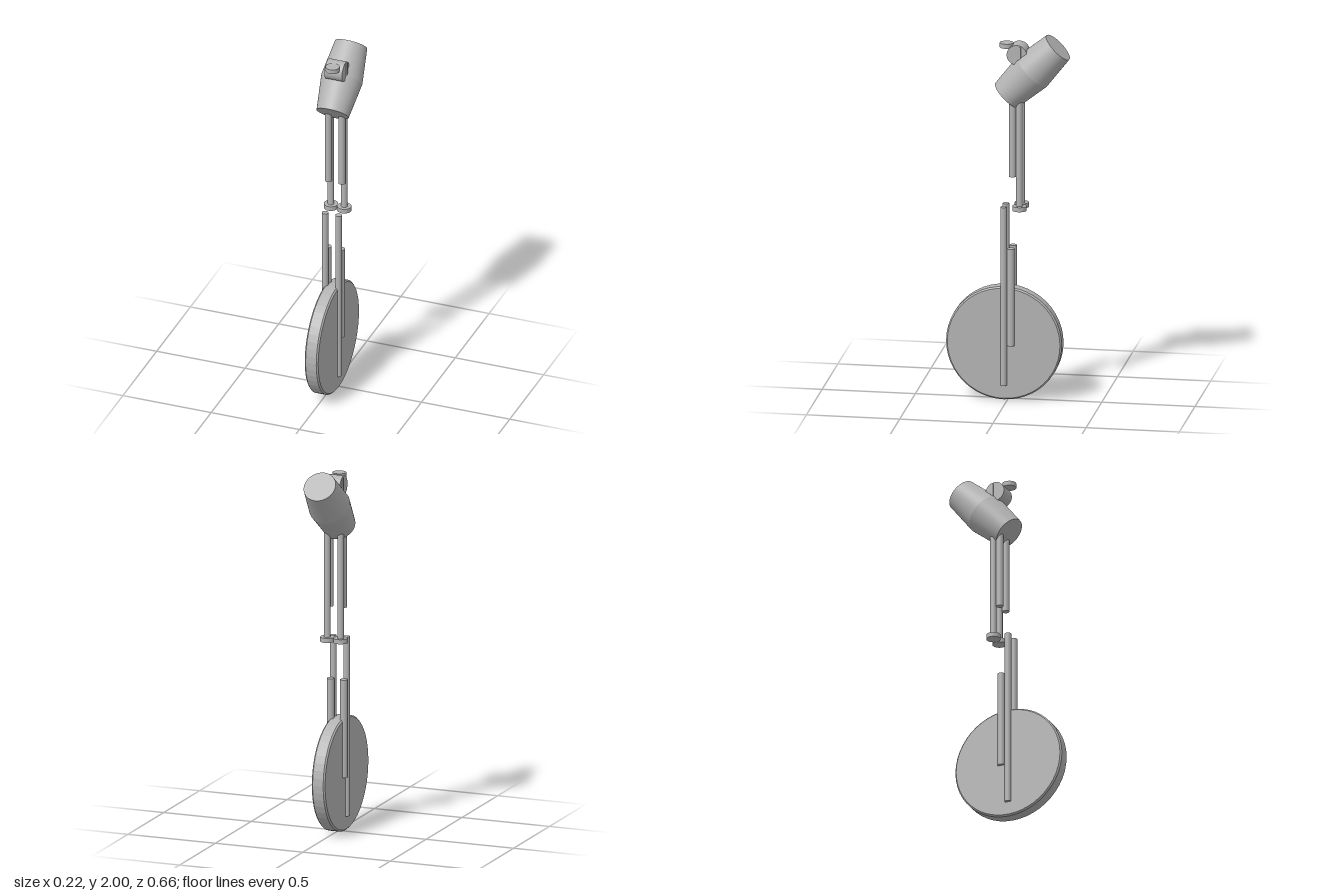
import * as THREE from 'three';

const grey = new THREE.MeshStandardMaterial({ color: 0xb4b4b4 });
grey.name = 'plain grey';

export function createModel() {
  const model = new THREE.Group();
  model.name = 'droidOnWheel';

  function add(name, geometry, x, y, z, parent = model) {
    const mesh = new THREE.Mesh(geometry, grey);
    mesh.name = name;
    mesh.position.set(x, y, z);
    parent.add(mesh);
    return mesh;
  }

  // vertical rod between two heights
  function rod(name, r, y0, y1, x, z) {
    add(name, new THREE.CylinderGeometry(r, r, y1 - y0, 24), x, (y0 + y1) / 2, z);
  }

  // wheel with a small bevel and a faceted rim
  const w = 0.038, r = 0.31, b = 0.008;
  const profile = [[0, -w], [r - b, -w], [r, b - w], [r, w - b], [r - b, w], [0, w]]
    .map(([px, py]) => new THREE.Vector2(px, py));
  const wheelGeometry = new THREE.LatheGeometry(profile, 48).toNonIndexed();
  wheelGeometry.computeVertexNormals();
  add('wheel', wheelGeometry, 0, r, 0.02).rotation.z = Math.PI / 2;

  // paired struts
  for (const [side, x] of [['left', 0.038], ['right', -0.038]]) {
    rod(side + 'WheelFork', 0.0175, 0.08, 1.06, x, 0.02);
    rod(side + 'LowerSleeve', 0.02, 0.3, 0.833, x, -0.019);
    rod(side + 'UpperSleeve', 0.019, 1.23, 1.7, x, -0.028);
    rod(side + 'PistonRod', 0.0175, 1.06, 1.7, x, -0.065);
    rod(side + 'PistonFoot', 0.038, 1.045, 1.07, x, -0.065);
  }

  // barrel body leaning backwards
  const body = new THREE.Group();
  body.name = 'body';
  body.position.set(0, 1.803, -0.128);
  body.rotation.x = -Math.PI / 4;
  model.add(body);
  const half = 0.194;
  add('upperBarrel', new THREE.CylinderGeometry(0.088, 0.112, half, 48, 1, true), 0, half / 2, 0, body);
  add('lowerBarrel', new THREE.CylinderGeometry(0.112, 0.088, half, 48, 1, true), 0, -half / 2, 0, body);
  add('topCap', new THREE.CircleGeometry(0.088, 48), 0, half, 0, body).rotation.x = -Math.PI / 2;
  add('bottomCap', new THREE.CircleGeometry(0.088, 48), 0, -half, 0, body).rotation.x = Math.PI / 2;

  // eye drum, side ribs and round brow plate
  add('eyeDrum', new THREE.CylinderGeometry(0.054, 0.054, 0.1, 40), 0, 1.9, -0.052).rotation.z = Math.PI / 2;
  for (const s of [-1, 1]) {
    add('drumRib', new THREE.BoxGeometry(0.008, 0.09, 0.015), s * 0.051, 1.902, -0.067);
  }
  add('browPlate', new THREE.CylinderGeometry(0.037, 0.037, 0.025, 32), 0, 1.942, 0.01);

  return model;
}
